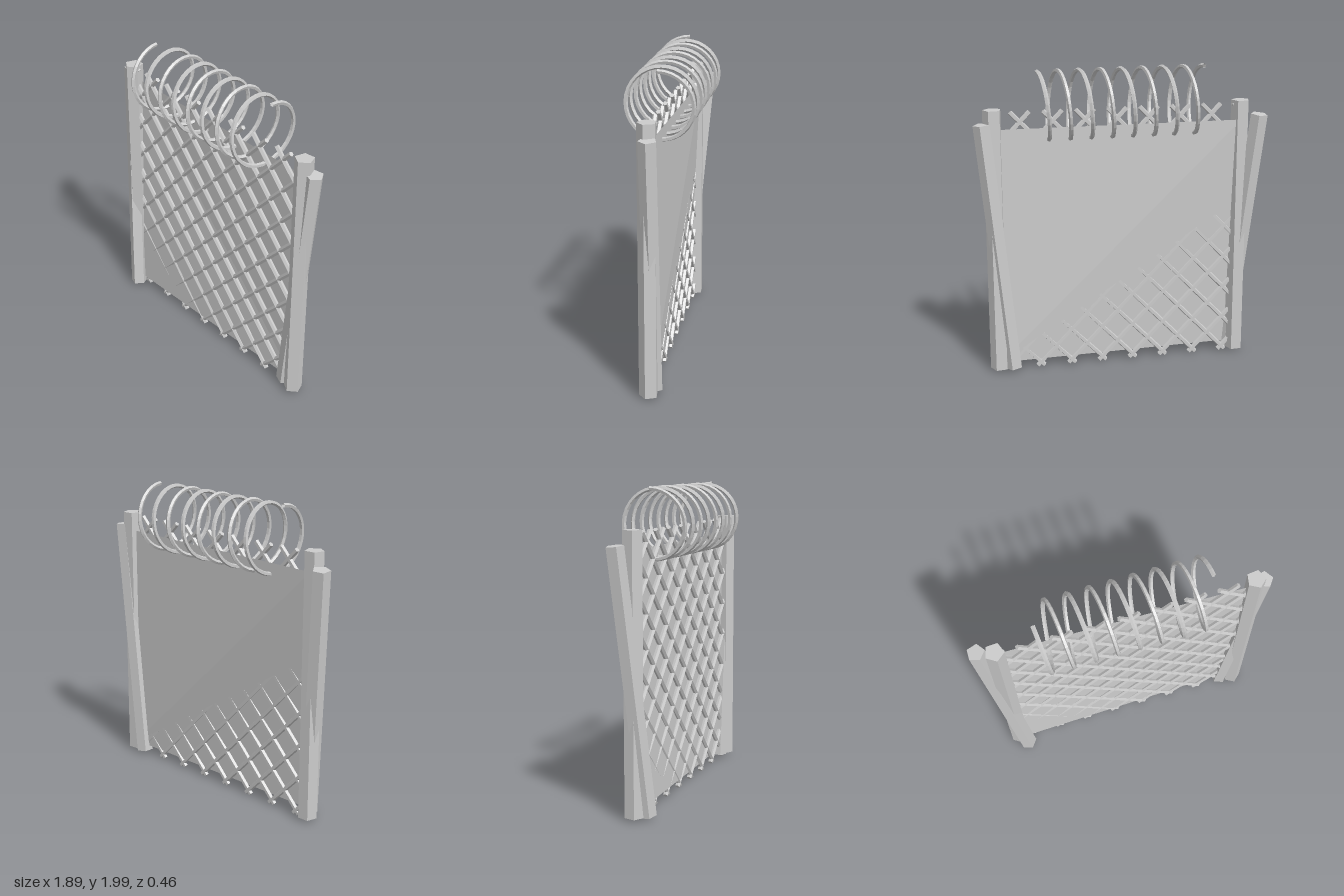
import * as THREE from 'three';

const mat = new THREE.MeshStandardMaterial({ color: 0xcccccc, flatShading: true });
const thin = new THREE.MeshStandardMaterial({ color: 0xcccccc, flatShading: true, side: THREE.DoubleSide });
const V = (x, y, z) => new THREE.Vector3(x, y, z);

// Straight prism between two points
function rod(name, a, b, radius, sides, spin = 0) {
  const dir = b.clone().sub(a);
  const geo = new THREE.CylinderGeometry(radius, radius, dir.length(), sides);
  geo.rotateY(spin);
  const mesh = new THREE.Mesh(geo, mat);
  mesh.name = name;
  mesh.position.copy(a).add(b).multiplyScalar(0.5);
  mesh.quaternion.setFromUnitVectors(V(0, 1, 0), dir.normalize());
  return mesh;
}

// Diagonal wires, clipped to the space between the posts
function createLattice() {
  const lattice = new THREE.Group();
  lattice.name = 'wireLattice';
  const slope = 1.042, pitch = 0.208, nodeX = -0.49, nodeY = 0.045;
  const yMin = 0.022, yMax = 1.735, xMin = -0.83, xMax = 0.86;
  for (const s of [1, -1]) {
    for (let k = -14; k <= 18; k++) {
      const base = nodeX + k * pitch;
      const yAt = x => nodeY + s * slope * (x - base);
      const ends = [yAt(xMin), yAt(xMax)].map(y => THREE.MathUtils.clamp(y, yMin, yMax));
      if (Math.abs(ends[0] - ends[1]) < 0.06) continue;
      const [a, b] = ends.map(y => V(base + s * (y - nodeY) / slope, y, 0));
      lattice.add(rod('wire', a, b, 0.016, 5));
    }
  }
  return lattice;
}

// Slightly warped sheet that cuts through the lattice at a low corner
function createSheet() {
  const geo = new THREE.BufferGeometry();
  geo.setAttribute('position', new THREE.Float32BufferAttribute([
    -0.79, 0.07, 0.031, 0.82, 0.07, -0.013,
    -0.79, 1.63, -0.036, 0.82, 1.63, -0.012], 3));
  geo.setIndex([0, 1, 2, 1, 3, 2]);
  geo.computeVertexNormals();
  const mesh = new THREE.Mesh(geo, thin);
  mesh.name = 'backingSheet';
  return mesh;
}

// Coil of wire along the top
function createCoil() {
  class Helix extends THREE.Curve {
    getPoint(t, target = new THREE.Vector3()) {
      const a = t * 8 * Math.PI * 2;
      return target.set(-0.54 + 1.08 * t, 1.77 + 0.214 * Math.cos(a), 0.214 * Math.sin(a));
    }
  }
  const mesh = new THREE.Mesh(new THREE.TubeGeometry(new Helix(), 256, 0.014, 5), thin);
  mesh.name = 'topCoil';
  return mesh;
}

export function createModel() {
  const model = new THREE.Group();
  model.name = 'fencePanel';

  // Upright five-sided posts with a leaning brace beside each
  model.add(
    rod('rightPost', V(-0.79, 0.03, 0), V(-0.79, 1.755, 0), 0.061, 5, 0.06),
    rod('leftPost', V(0.825, 0.03, 0), V(0.825, 1.755, 0), 0.061, 5, 0.12),
    rod('rightBrace', V(-0.743, 0.032, 0.065), V(-0.898, 1.668, -0.065), 0.057, 5, 0.3),
    rod('leftBrace', V(0.733, 0.032, -0.015), V(0.893, 1.668, -0.018), 0.057, 5, 0.3)
  );

  model.add(createSheet(), createLattice(), createCoil());
  return model;
}
